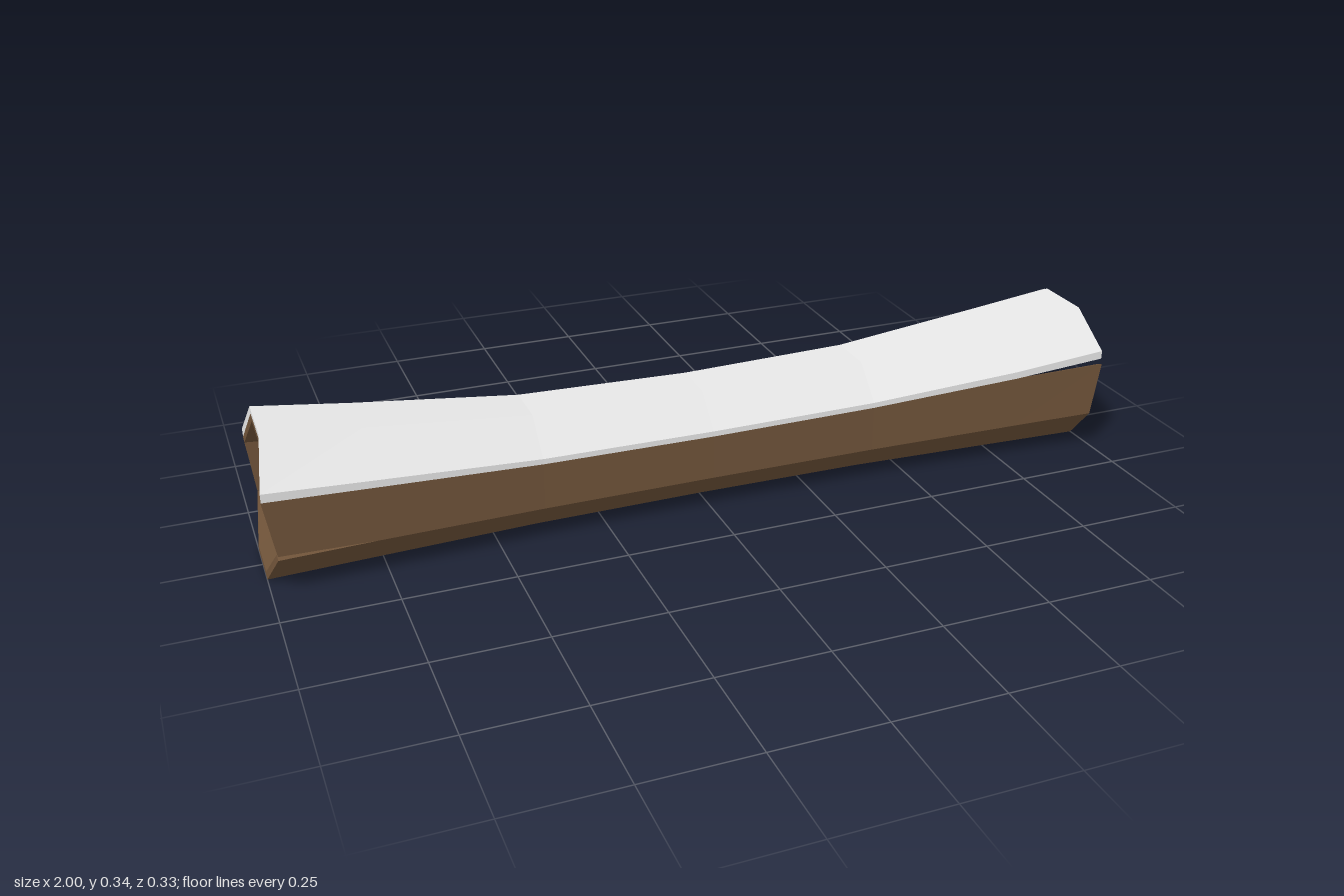
import * as THREE from 'three';

// Half-length stations: distance along x, octagon apothem, inner apothem, snow depth
const HALF = [
  { x: 0, a: 0.126, inner: 0.117, snow: 0.009 },
  { x: 0.4, a: 0.131, inner: 0.122, snow: 0.009 },
  { x: 0.77, a: 0.151, inner: 0.138, snow: 0.012 },
  { x: 1, a: 0.164, inner: 0.148, snow: 0.014 },
];
const STATIONS = [
  ...HALF.slice(1).reverse().map((s) => ({ ...s, x: -s.x })),
  ...HALF,
];

// Ragged end position of each corner; corner 0 is the upper front one, going up and over
const END_X = [1, 0.98, 0.98, 0.995, 0.98, 1, 1, 0.98];
// Cracks at the log's ends, running along a corner
const CRACKS = { 1: [0, 2], '-1': [7] };
const CRACK_HALF = 0.007;

// Point on an octagon corner, as a vector in the section's plane
function corner(s, apothem, k) {
  const r = apothem / Math.cos(Math.PI / 8);
  const t = Math.PI / 8 + (k * Math.PI) / 4;
  const sink = 0.01 * (0.164 - s.a) / 0.038;
  const x = Math.abs(s.x) === 1 ? Math.sign(s.x) * END_X[k % 8] : s.x;
  return new THREE.Vector3(x, s.a + sink + r * Math.sin(t), r * Math.cos(t));
}

// Pull a corner towards its panel's other corner where a crack opens
function opened(s, p, k, other) {
  if (Math.abs(s.x) === 1 && CRACKS[Math.sign(s.x)].includes(k % 8)) {
    const d = other.clone().sub(p).setX(0).normalize();
    p.addScaledVector(d, CRACK_HALF);
  }
  return p;
}

function edgePair(s, apothem, i) {
  const a = corner(s, apothem, i);
  const b = corner(s, apothem, i + 1);
  const a0 = a.clone();
  return [opened(s, a, i, b), opened(s, b, i + 1, a0)];
}

// Closed solid through four-point sections
function loft(sections) {
  const pos = [];
  const quad = (a, b, c, d) => [a, b, c, a, c, d].forEach((p) => pos.push(p.x, p.y, p.z));
  for (let s = 0; s < sections.length - 1; s++) {
    const p = sections[s];
    const q = sections[s + 1];
    for (let j = 0; j < 4; j++) {
      const n = (j + 1) % 4;
      quad(p[j], q[j], q[n], p[n]);
    }
  }
  const first = sections[0];
  const last = sections[sections.length - 1];
  quad(first[0], first[1], first[2], first[3]);
  quad(last[3], last[2], last[1], last[0]);
  const g = new THREE.BufferGeometry();
  g.setAttribute('position', new THREE.Float32BufferAttribute(pos, 3));
  g.computeVertexNormals();
  return g;
}

// One of the log's eight wall planks
function barkPanel(i) {
  return loft(STATIONS.map((s) => {
    const [oa, ob] = edgePair(s, s.a, i);
    const [ia, ib] = edgePair(s, s.inner, i);
    return [oa, ob, ib, ia];
  }));
}

// Snow lying on an upper panel; its outer rims rise straight from the side walls
function snowPanel(i) {
  return loft(STATIONS.map((s) => {
    const [ia, ib] = edgePair(s, s.a, i);
    const [oa, ob] = edgePair(s, s.a + s.snow, i);
    const rim = s.snow * Math.SQRT2;
    if (i === 0) oa.copy(ia).setY(ia.y + rim);
    if (i === 2) ob.copy(ib).setY(ib.y + rim);
    return [oa, ob, ib, ia];
  }));
}

export function createModel() {
  const wood = new THREE.MeshStandardMaterial({ color: 0x6f5339 });
  wood.name = 'bark brown';
  const white = new THREE.MeshStandardMaterial({ color: 0xf2f2f2 });
  white.name = 'snow white';

  const model = new THREE.Group();
  model.name = 'hollowLog';
  const bark = new THREE.Group();
  bark.name = 'bark';
  const snow = new THREE.Group();
  snow.name = 'snowCover';
  model.add(bark, snow);

  for (let i = 0; i < 8; i++) {
    const m = new THREE.Mesh(barkPanel(i), wood);
    m.name = `barkPanel${i + 1}`;
    bark.add(m);
  }
  for (let i = 0; i < 3; i++) {
    const m = new THREE.Mesh(snowPanel(i), white);
    m.name = `snowPanel${i + 1}`;
    snow.add(m);
  }
  return model;
}
